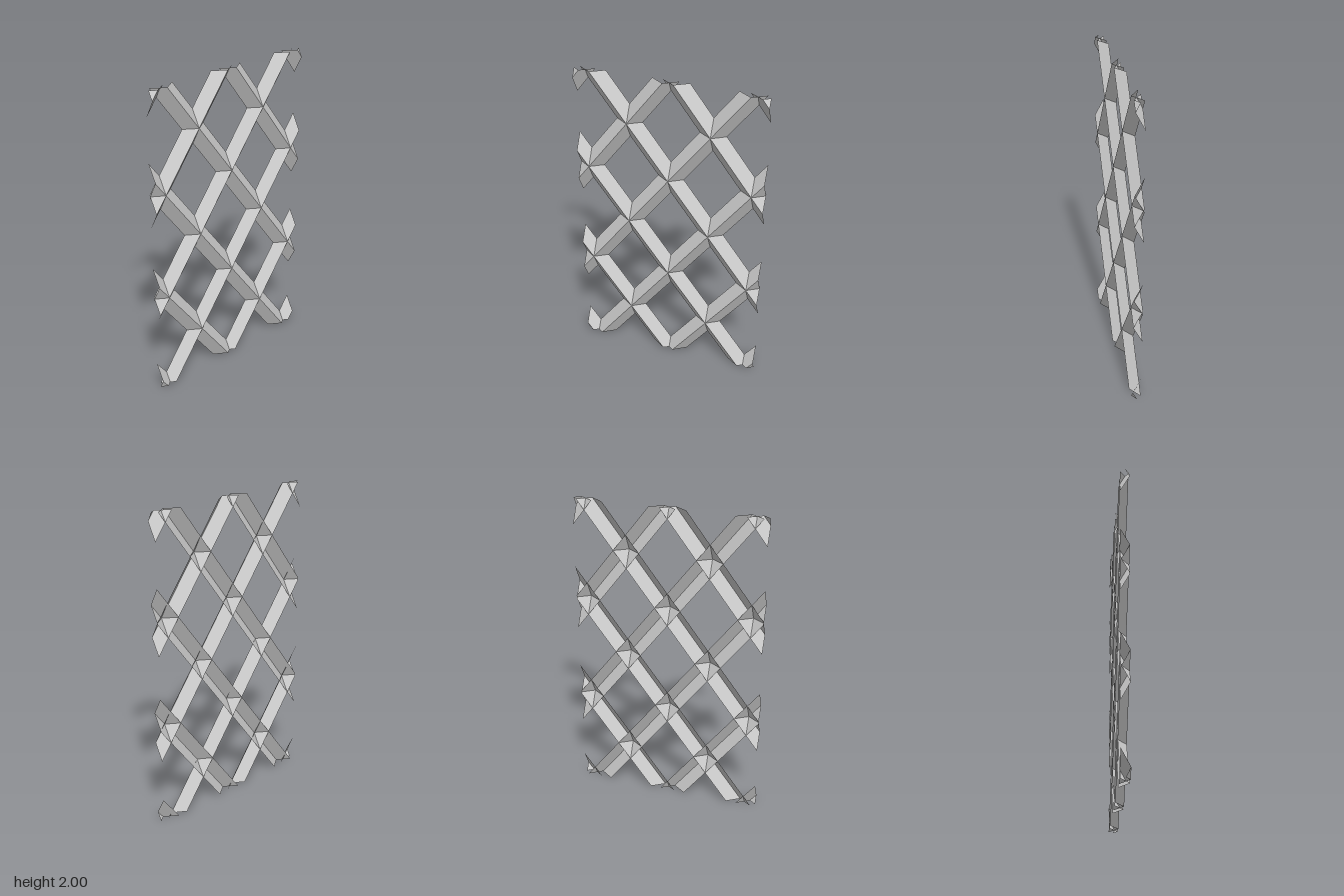
import * as THREE from 'three';

const HALF_W = 0.611;            // panel half width
const HEIGHT = 2;                // panel height
const DEPTH = 0.029;             // ridge at +DEPTH, open back edges at -DEPTH
const STEP_X = 0.267;            // half of a diamond cell
const SLOPE = 0.348 / STEP_X;
const BAR = 0.11;                // vertical distance from a bar's ridge to its edge

// Cuts a convex polygon, keeping the part where dist(p) >= 0
function clip(poly, dist) {
  const out = [];
  poly.forEach((a, i) => {
    const b = poly[(i + 1) % poly.length];
    const da = dist(a), db = dist(b);
    if (da >= 0) out.push(a);
    if (da >= 0 !== db >= 0) out.push(a.clone().lerp(b, da / (da - db)));
  });
  return out;
}

// The four sides of the panel
const sides = [
  p => p.x + HALF_W,
  p => HALF_W - p.x,
  p => p.y,
  p => HEIGHT - p.y,
];

// V-shaped bar along a diagonal: an upper and a lower sloping face, cut to the panel
function barGeometry(x0, sign) {
  const point = (x, offset) => new THREE.Vector3(
    x, HEIGHT / 2 + sign * SLOPE * (x - x0) + offset, offset === 0 ? DEPTH : -DEPTH);
  const positions = [];
  for (const [low, high] of [[0, BAR], [-BAR, 0]]) {
    const face = [point(-1, low), point(1, low), point(1, high), point(-1, high)];
    const poly = sides.reduce(clip, face);
    for (let i = 1; i < poly.length - 1; i++) {
      for (const p of [poly[0], poly[i], poly[i + 1]]) positions.push(p.x, p.y, p.z);
    }
  }
  if (!positions.length) return null;
  const geometry = new THREE.BufferGeometry();
  geometry.setAttribute('position', new THREE.Float32BufferAttribute(positions, 3));
  geometry.computeVertexNormals();
  return geometry;
}

export function createModel() {
  const model = new THREE.Group();
  model.name = 'diamondLattice';
  const material = new THREE.MeshStandardMaterial({
    color: 0xcccccc, flatShading: true, side: THREE.DoubleSide,
  });

  // Two sets of parallel diagonal bars that cross each other
  for (const [sign, name] of [[1, 'risingBars'], [-1, 'fallingBars']]) {
    const bars = new THREE.Group();
    bars.name = name;
    for (let k = -7; k <= 7; k += 2) {
      const geometry = barGeometry(k * STEP_X, sign);
      if (!geometry) continue;
      const bar = new THREE.Mesh(geometry, material);
      bar.name = 'bar';
      bars.add(bar);
    }
    model.add(bars);
  }
  return model;
}
